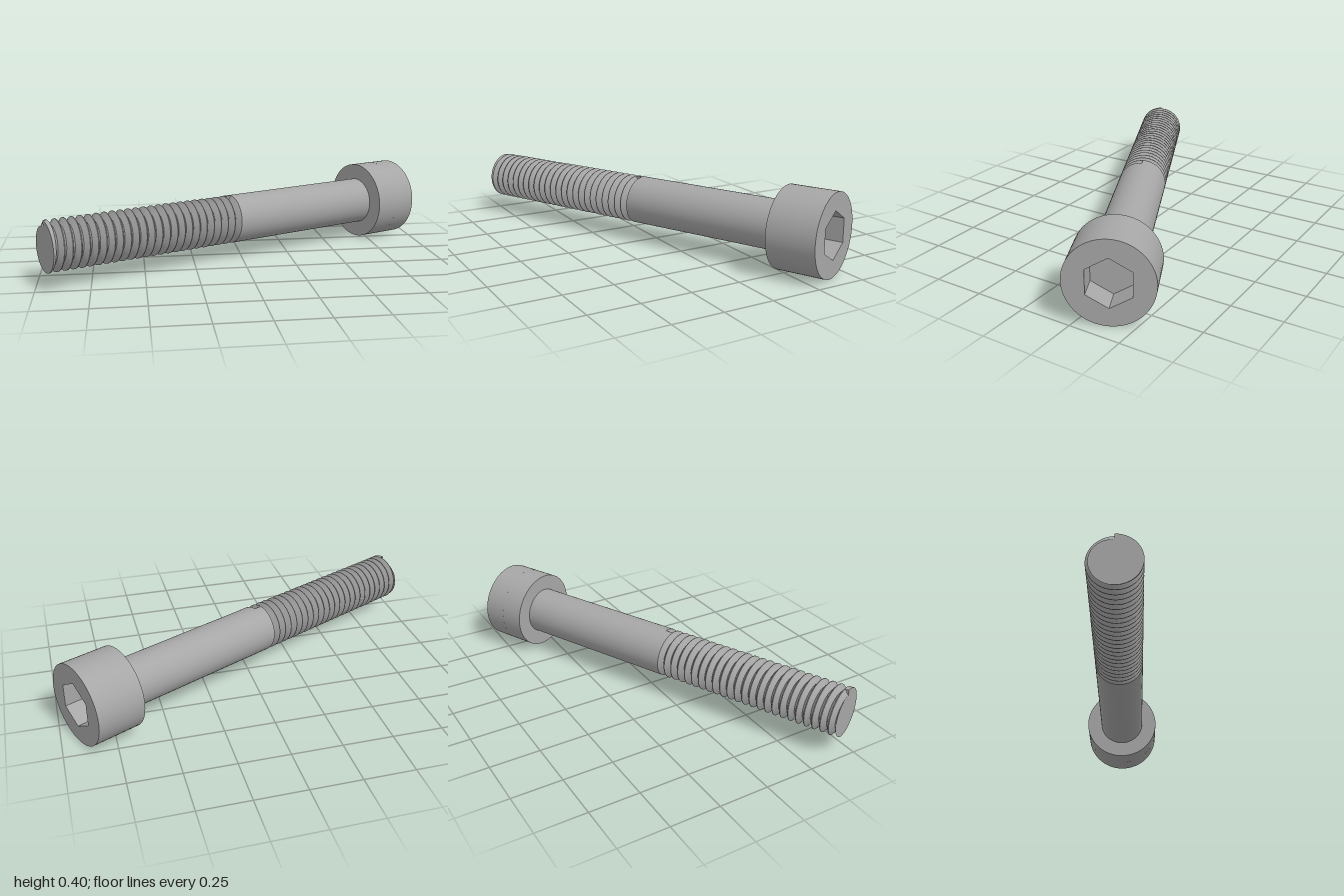
import * as THREE from 'three';
import { toCreasedNormals } from 'three/addons/utils/BufferGeometryUtils.js';

// Bolt dimensions in thread pitches, measured along the axis from the tip
const R = 3, ROOT = 2.3, HALF = 0.46, TURNS = 24, THREAD_END = 24.5;
const HEAD_R = 5, HEAD_START = 45, HEAD_END = 51, SOCKET_DEPTH = 3;
const SCALE = 0.0403, ANGLE = 24.87 * Math.PI / 180, SEG = 64;

// Helical V groove cut into a cylinder, with a flat tip and abrupt groove ends
function threadGeometry() {
  const positions = [];
  const tri = (...pts) => pts.forEach(p => positions.push(...p));
  const column = i => {
    const phi = i / SEG * Math.PI * 2;
    const at = (s, r) => [r * Math.cos(phi), s, r * Math.sin(phi)];
    const rise = i / SEG;
    const radius = (s, c) => R - (R - ROOT) * Math.max(0, 1 - Math.abs(s - c) / HALF);
    const points = [at(0, radius(0, rise))];
    for (let n = 0; n < TURNS; n++) {
      for (const k of [-HALF, 0, HALF]) {
        const s = Math.max(0, rise + n + k);
        points.push(at(s, radius(s, rise + n)));
      }
    }
    points.push(at(THREAD_END, R));
    return points;
  };
  for (let i = 0; i < SEG; i++) {
    const a = column(i), b = column(i + 1);
    tri([0, 0, 0], a[0], b[0]);
    for (let j = 0; j < a.length - 1; j++) {
      tri(a[j], a[j + 1], b[j]);
      tri(b[j], a[j + 1], b[j + 1]);
    }
  }
  // End walls of the groove
  tri([R, 0, 0], [R, HALF, 0], [ROOT, 0, 0]);
  tri([R, TURNS - HALF, 0], [ROOT, TURNS, 0], [R, TURNS + HALF, 0]);
  const g = new THREE.BufferGeometry();
  g.setAttribute('position', new THREE.Float32BufferAttribute(positions, 3));
  return toCreasedNormals(g, 0.5);
}

// Upper half of the head, pierced by the hexagonal socket
function socketRingGeometry() {
  const shape = new THREE.Shape().absarc(0, 0, HEAD_R, 0, Math.PI * 2, false);
  const corners = [];
  for (let i = 0; i < 6; i++) {
    const a = -i * Math.PI / 3, r = 2.5 / Math.cos(Math.PI / 6);
    corners.push(new THREE.Vector2(r * Math.cos(a), r * Math.sin(a)));
  }
  shape.holes.push(new THREE.Path(corners));
  const g = new THREE.ExtrudeGeometry(shape, { depth: SOCKET_DEPTH, bevelEnabled: false, curveSegments: SEG });
  g.rotateX(-Math.PI / 2);
  return toCreasedNormals(g, 0.5);
}

export function createModel() {
  const steel = new THREE.MeshStandardMaterial({ color: 0xa6a6a6 });
  steel.name = 'steel grey';
  const bolt = new THREE.Group();
  bolt.name = 'socketHeadBolt';
  const add = (name, geometry, y = 0) => {
    const mesh = new THREE.Mesh(geometry, steel);
    mesh.name = name;
    mesh.position.y = y;
    bolt.add(mesh);
  };

  add('thread', threadGeometry());

  const shankLength = HEAD_START - THREAD_END;
  add('shank', new THREE.CylinderGeometry(R, R, shankLength, SEG, 1, true), THREAD_END + shankLength / 2);

  const baseHeight = HEAD_END - HEAD_START - SOCKET_DEPTH;
  add('headBase', new THREE.CylinderGeometry(HEAD_R, HEAD_R, baseHeight, SEG), HEAD_START + baseHeight / 2);
  add('headSocket', socketRingGeometry(), HEAD_END - SOCKET_DEPTH);

  // Lay the bolt down, with local x pointing up and local y along the axis
  const c = Math.cos(ANGLE), s = Math.sin(ANGLE);
  const m = new THREE.Matrix4().makeBasis(
    new THREE.Vector3(0, 1, 0), new THREE.Vector3(c, 0, -s), new THREE.Vector3(-s, 0, -c));
  m.scale(new THREE.Vector3(SCALE, SCALE, SCALE));
  m.setPosition(-0.949, HEAD_R * SCALE, 0.469);
  bolt.applyMatrix4(m);

  const model = new THREE.Group();
  model.name = 'model';
  model.add(bolt);
  return model;
}
